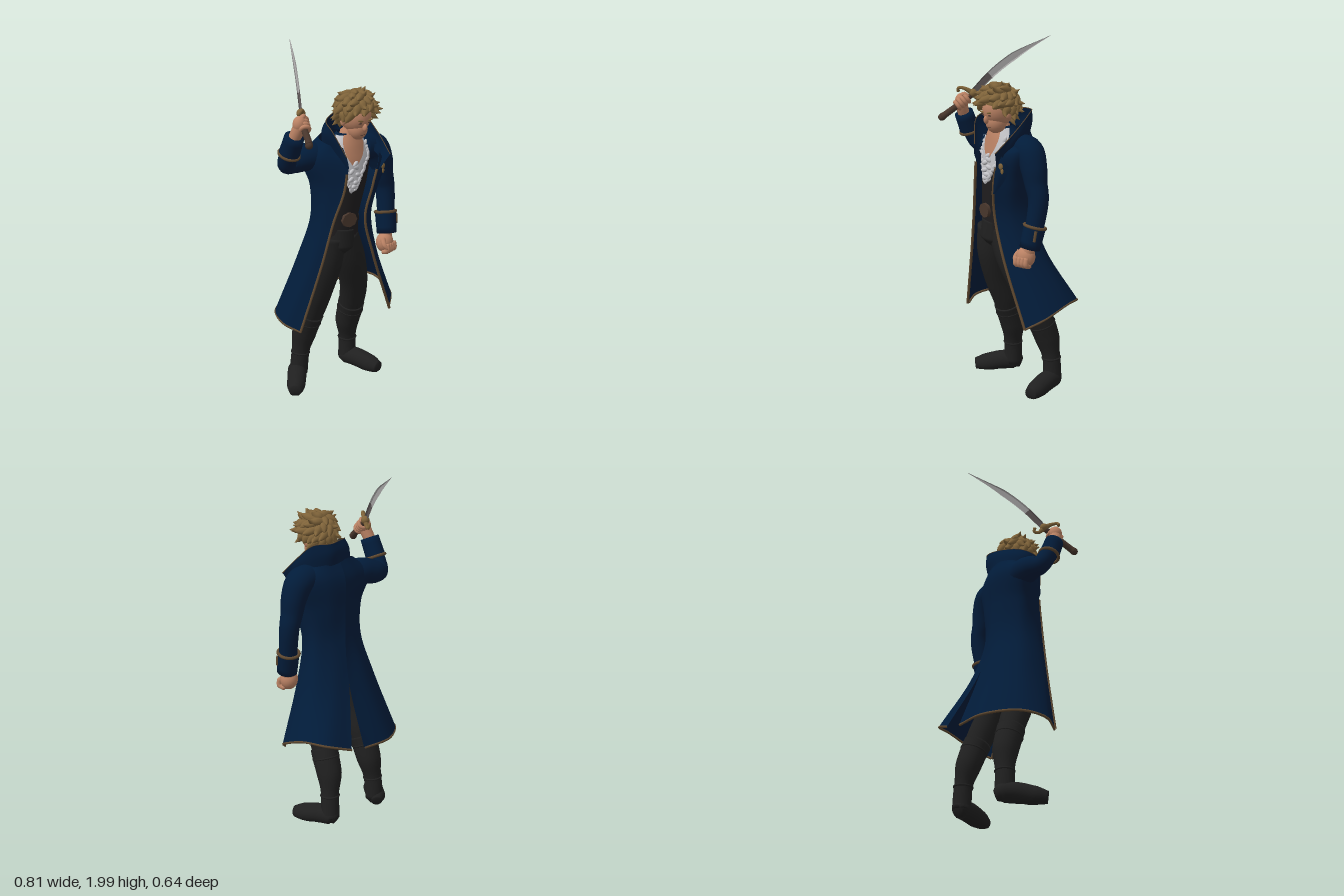
import * as THREE from 'three';

const mat = (name, color, side = THREE.FrontSide) => {
  const m = new THREE.MeshStandardMaterial({ color, side });
  m.name = name;
  return m;
};
const V = (x, y, z) => new THREE.Vector3(x, y, z);
const spline = (pts) => new THREE.CatmullRomCurve3(pts);

// Surface through rows of points
function grid(rows, closed = false) {
  const n = rows[0].length, idx = [];
  for (let i = 0; i < rows.length - 1; i++)
    for (let j = 0; j < (closed ? n : n - 1); j++) {
      const k = (j + 1) % n, a = i * n + j, b = i * n + k;
      idx.push(a, b, a + n, b, b + n, a + n);
    }
  const g = new THREE.BufferGeometry().setFromPoints(rows.flat());
  g.setIndex(idx);
  g.computeVertexNormals();
  return g;
}

// Smooth sheet: each level is a list of [x, y, z] running across
function sheetRows(levels, nu, nv) {
  const cols = levels[0].map((_, j) => spline(levels.map((l) => V(...l[j]))));
  return Array.from({ length: nu + 1 }, (_, i) => spline(cols.map((c) => c.getPoint(i / nu))).getPoints(nv));
}

// Round limb through [x, y, z, radius] stations
function limb(pts, sides = 16, steps = 24, floor = -9) {
  const path = spline(pts.map((p) => V(p[0], p[1], p[2])));
  const rad = spline(pts.map((p) => V(p[3], 0, 0)));
  const t0 = path.getTangent(0);
  const n = Math.abs(t0.y) > 0.8 ? V(1, 0, 0) : V(0, 1, 0);
  const rows = [];
  for (let i = 0; i <= steps; i++) {
    const p = path.getPoint(i / steps), t = path.getTangent(i / steps);
    n.addScaledVector(t, -n.dot(t)).normalize();
    const b = t.clone().cross(n), r = Math.max(rad.getPoint(i / steps).x, 0.0005);
    const ring = (k) => Array.from({ length: sides }, (_, j) => {
      const a = (j / sides) * Math.PI * 2;
      const q = p.clone().addScaledVector(n, Math.cos(a) * r * k).addScaledVector(b, Math.sin(a) * r * k);
      q.y = Math.max(q.y, floor);
      return q;
    });
    if (i === 0) rows.push(ring(0.01));
    rows.push(ring(1));
    if (i === steps) rows.push(ring(0.01));
  }
  return grid(rows, true);
}

export function createModel() {
  const model = new THREE.Group();
  const coat = mat('navy cloth', 0x021c3a, THREE.DoubleSide);
  const trim = mat('brown trim', 0x5e4830);
  const dark = mat('dark trousers and boots', 0x202020);
  const vestM = mat('vest cloth', 0x1f1d1e, THREE.DoubleSide);
  const skin = mat('skin', 0xbc8365, THREE.DoubleSide);
  const hairM = mat('dark gold', 0x80643a, THREE.DoubleSide);
  const white = mat('white linen', 0xc4c4c8, THREE.DoubleSide);
  const steel = mat('steel', 0xa3a1a1);
  const darkSteel = mat('dark steel', 0x5c5555);
  const leather = mat('leather', 0x48362c);

  const add = (name, geo, m, parent = model) => {
    const mesh = new THREE.Mesh(geo, m);
    mesh.name = name;
    parent.add(mesh);
    return mesh;
  };
  const ball = (name, p, s, m, parent = model) => {
    const b = add(name, new THREE.SphereGeometry(1, 24, 16), m, parent);
    b.position.set(...p);
    b.scale.set(...s);
    return b;
  };
  const piping = (name, pts, r) => add(name, new THREE.TubeGeometry(spline(pts), pts.length * 2, r, 6), trim);
  const ringOn = (name, p, q, r, tube, m) => {
    const t = add(name, new THREE.TorusGeometry(r, tube, 8, 28), m);
    t.position.set(...p);
    t.quaternion.setFromUnitVectors(V(0, 0, 1), V(...q).sub(V(...p)).normalize());
  };

  // Torso, turned towards the sword side: [x, y, z, half width, half depth]
  const torso = [[-.03, .93, .06, .13, .1], [-.03, 1.06, .07, .12, .095], [0, 1.25, .08, .145, .105],
    [.02, 1.4, .07, .17, .11], [.02, 1.48, .08, .11, .09], [.01, 1.54, .1, .055, .055]];
  const torsoPoint = (y, a, off = 0) => {
    let i = 0;
    while (i < torso.length - 2 && torso[i + 1][1] < y) i++;
    const f = (y - torso[i][1]) / (torso[i + 1][1] - torso[i][1]);
    const [x, , z, w, d] = torso[i].map((v, k) => v + (torso[i + 1][k] - v) * f);
    return V((w + off) * Math.cos(a), 0, -(d + off) * Math.sin(a)).applyAxisAngle(V(0, 1, 0), -.37).add(V(x, y, z));
  };
  const band = (y0, y1, n, off, half) => {
    const rows = [];
    for (let i = 0; i <= n; i++) {
      const h = half(i / n), y = y0 + (y1 - y0) * i / n;
      rows.push(Array.from({ length: 33 }, (_, j) => torsoPoint(y, -Math.PI / 2 + h * (j / 16 - 1), off)));
    }
    return grid(rows);
  };
  add('vest', band(.95, 1.4, 20, 0, () => Math.PI), vestM);
  add('coatLining', band(1.4, 1.54, 6, 0, () => Math.PI), coat);
  add('hips', limb([[-.045, .84, .06, .06], [-.04, .9, .06, .11], [-.03, 1, .065, .105]]), dark);
  add('shirtFront', band(1.22, 1.53, 12, .007, (u) => .08 + .75 * u + .7 * u ** 4), white);
  add('bareChest', band(1.37, 1.535, 10, .013, (u) => .1 + .7 * u), skin);
  // Ruffles down both shirt edges and a gathered frill in the middle
  for (let i = 0; i < 24; i++) {
    const s = i % 2 ? 1 : -1, u = i / 23;
    const p = torsoPoint(1.23 + .24 * u, -Math.PI / 2 + s * (.1 + .72 * u), .007);
    const r = ball('shirtRuffle', p.toArray(), [.011, .02 + .006 * Math.sin(i * 2.3), .008], white);
    r.rotation.z = s * -.5 + Math.sin(i * 4.1) * .6;
  }
  for (let i = 0; i < 7; i++)
    ball('shirtFrill', torsoPoint(1.25 + .021 * i, -Math.PI / 2 + .14 * Math.sin(i * 2.6), .012).toArray(), [.022, .013, .01], white)
      .rotation.z = Math.sin(i * 3.3) * .7;
  add('belt', band(1.03, 1.06, 1, .005, () => Math.PI), vestM);
  const buckle = add('beltBuckle', new THREE.CylinderGeometry(.042, .042, .018, 8), leather);
  buckle.position.copy(torsoPoint(1.06, -Math.PI / 2 + .06, .008));
  buckle.rotation.set(Math.PI / 2, 0, .37);
  buckle.scale.x = 1.15;

  // Coat body and skirt in two panels that part at the back slit
  const rightPanel = [
    [[-.08, 1.47, .14], [-.13, 1.49, .07], [-.09, 1.51, -.02], [0, 1.525, -.04], [.07, 1.52, -.025]],
    [[-.1, 1.41, .18], [-.19, 1.41, .03], [-.17, 1.41, -.08], [-.03, 1.42, -.085], [.07, 1.42, -.06]],
    [[-.118, 1.25, .18], [-.165, 1.25, .08], [-.15, 1.25, -.035], [-.04, 1.25, -.07], [.06, 1.25, -.055]],
    [[-.162, 1.06, .135], [-.18, 1.06, .06], [-.14, 1.06, -.04], [-.04, 1.06, -.075], [.07, 1.06, -.06]],
    [[-.21, .83, .095], [-.23, .83, .03], [-.18, .83, -.1], [-.03, .83, -.145], [.1, .83, -.1]],
    [[-.31, .43, .015], [-.328, .46, -.09], [-.25, .48, -.215], [-.05, .48, -.285], [.15, .48, -.225]]];
  const leftPanel = [
    [[.07, 1.52, -.025], [.15, 1.505, .03], [.18, 1.49, .1], [.16, 1.46, .18], [.1, 1.43, .22]],
    [[.07, 1.42, -.06], [.17, 1.42, .01], [.24, 1.42, .12], [.2, 1.42, .23], [.1, 1.4, .25]],
    [[.06, 1.25, -.055], [.15, 1.25, 0], [.2, 1.25, .1], [.165, 1.25, .215], [.058, 1.25, .245]],
    [[.07, 1.06, -.06], [.14, 1.06, 0], [.19, 1.06, .08], [.14, 1.06, .18], [.036, 1.06, .21]],
    [[.1, .83, -.1], [.2, .83, -.045], [.26, .83, .05], [.2, .83, .175], [.1, .83, .22]],
    [[.25, .5, -.2], [.38, .55, -.11], [.405, .56, .02], [.355, .5, .18], [.26, .44, .235]]];
  [['right', rightPanel], ['left', leftPanel]].forEach(([side, levels]) => {
    const rows = sheetRows(levels, 40, 28);
    add(side + 'CoatPanel', grid(rows), coat);
    piping(side + 'HemTrim', rows[40].map((p) => V(p.x * .988, p.y, p.z * .988)), .007);
    piping(side + 'FrontTrim', rows.slice(12).map((r) => (side === 'right' ? r[0] : r[28])), .008);
  });

  // Standing collar sweeping down to pointed lapels
  const collar = sheetRows([
    [[-.1, 1.33, .185], [-.12, 1.46, .1], [-.1, 1.5, .01], [.02, 1.52, -.035], [.12, 1.5, .0], [.17, 1.48, .1], [.14, 1.4, .22], [.08, 1.3, .245]],
    [[-.11, 1.38, .2], [-.14, 1.52, .11], [-.11, 1.555, .02], [.02, 1.58, -.025], [.13, 1.57, -.01], [.18, 1.55, .09], [.16, 1.47, .21], [.1, 1.36, .28]],
    [[-.115, 1.43, .19], [-.15, 1.57, .12], [-.1, 1.605, .04], [.02, 1.625, .0], [.13, 1.625, 0], [.178, 1.615, .08], [.165, 1.53, .19], [.12, 1.42, .315]]], 8, 48);
  add('collar', grid(collar), coat);
  piping('collarTrim', collar[8], .0025);
  add('leftLapel', grid(sheetRows([[[.1, 1.42, .255], [.14, 1.38, .265], [.17, 1.34, .25]],
    [[.075, 1.3, .258], [.11, 1.29, .26], [.135, 1.27, .245]],
    [[.05, 1.18, .24], [.055, 1.18, .24], [.06, 1.18, .239]]], 8, 8)), coat);
  ball('brooch', [.122, 1.345, .268], [.014, .018, .007], hairM);
  ball('broochDrop', [.128, 1.318, .264], [.009, .016, .006], hairM);

  // Sleeves and cuffs
  add('leftSleeve', limb([[.13, 1.43, .11, .075], [.218, 1.415, .14, .08], [.258, 1.34, .155, .073], [.278, 1.25, .16, .062],
    [.298, 1.17, .165, .056], [.285, 1.0, .185, .05]], 20, 30), coat);
  add('rightSleeve', limb([[-.08, 1.4, .0, .085], [-.17, 1.41, -.04, .077], [-.24, 1.395, -.075, .066],
    [-.29, 1.39, -.08, .053], [-.318, 1.45, -.05, .05], [-.333, 1.52, -.01, .045]], 20, 30), coat);
  [['left', [.286, 1.02, .18], [.268, .9, .203], .057], ['right', [-.325, 1.46, -.04], [-.334, 1.565, .005], .054]].forEach(([side, p, q, r]) => {
    add(side + 'Cuff', limb([[...p, r + .004], [...q, r]], 20, 4), coat);
    ringOn(side + 'CuffTrim', p, q, r + .002, .009, trim);
  });
  piping('leftCuffTab', [V(.325, 1.01, .225), V(.322, .98, .23), V(.318, .95, .232)], .009);

  // Left fist
  ball('leftFist', [.245, .85, .205], [.052, .06, .05], skin);
  add('leftWrist', limb([[.268, .92, .198, .036], [.25, .86, .205, .04]], 12, 4), skin);
  for (let i = 0; i < 4; i++)
    add('leftFinger', limb([[.212 + i * .022, .855, .247, .013], [.21 + i * .022, .815, .25, .015], [.21 + i * .022, .8, .215, .012]], 8, 8), skin);
  add('leftThumb', limb([[.213, .88, .215, .017], [.197, .85, .235, .015], [.208, .825, .255, .01]], 8, 8), skin);

  // Sabre: grip, guard and curved blade
  const h0 = V(-.27, 1.675, 0), h1 = V(-.385, 1.55, .14);
  add('swordGrip', limb([[...h0.toArray(), .016], [-.33, 1.61, .07, .018], [-.37, 1.565, .125, .019], [...h1.toArray(), .022]], 12, 16), leather);
  ball('pommel', h1.toArray(), [.021, .021, .021], leather);
  add('crossGuard', limb([[-.345, 1.69, .04, .01], [-.335, 1.71, .05, .008], [-.305, 1.708, .035, .01], [-.27, 1.677, 0, .016],
    [-.248, 1.645, -.022, .01], [-.23, 1.645, -.042, .008], [-.235, 1.668, -.045, .01]], 8, 30), hairM);
  ball('guardBoss', [-.27, 1.68, 0], [.024, .024, .024], hairM);
  const bladePath = spline([V(-.27, 1.68, 0), V(-.19, 1.793, -.08), V(-.1, 1.888, -.17), V(.047, 2, -.32)]);
  const bladeRows = [];
  for (let i = 0; i <= 24; i++) {
    const u = i / 24, p = bladePath.getPoint(u), t = bladePath.getTangent(u);
    const s = t.clone().cross(V(0, 1, 0)).normalize(), w = s.clone().cross(t);
    const k = Math.max(.03, Math.min(1, (1 - u) * 3)), e = (.019 + .004 * Math.sin(u * 3.1)) * k, d = .006 * Math.sqrt(k);
    bladeRows.push([[e, 0], [e * .7, -d], [-e * .7, -d], [-e, 0], [-e * .7, d], [e * .7, d]]
      .map(([a, b]) => p.clone().addScaledVector(w, a).addScaledVector(s, b)));
  }
  [['bladeBase', bladeRows.slice(0, 8), darkSteel], ['blade', bladeRows.slice(7), steel]].forEach(([name, rows, m]) => {
    const g = grid(rows, true).toNonIndexed();
    g.computeVertexNormals();
    add(name, g, m);
  });

  // Right hand wrapped around the grip
  add('rightWrist', limb([[-.334, 1.55, 0, .033], [-.33, 1.6, .025, .035], [-.325, 1.64, .04, .034]], 12, 8), skin);
  ball('rightPalm', [-.325, 1.635, .033], [.04, .045, .036], skin);
  for (let i = 0; i < 4; i++) {
    const p = h0.clone().lerp(h1, .2 + i * .1);
    ringOn('rightFinger', p.toArray(), h1.toArray(), .023, .0115, skin);
  }
  add('rightThumb', limb([[-.33, 1.66, .04, .016], [-.3, 1.675, .04, .014], [-.28, 1.66, .03, .011]], 8, 8), skin);

  // Legs, boots and feet
  [['right', [[-.085, .95, .05, .095], [-.1, .8, .04, .092], [-.1, .62, -.01, .08], [-.09, .5, -.06, .076], [-.09, .4, -.1, .068]],
    [[-.09, .45, -.08, .078], [-.09, .4, -.1, .076], [-.088, .31, -.13, .071], [-.098, .19, -.15, .052], [-.105, .06, -.16, .053]],
    [[-.07, .05, -.195, .03], [-.1, .065, -.175, .054], [-.16, .066, -.13, .056], [-.24, .048, -.075, .053], [-.295, .04, -.04, .034]]],
  ['left', [[0, .95, .07, .095], [.06, .8, .08, .093], [.14, .62, .06, .082], [.182, .5, .025, .077], [.205, .4, -.01, .068]],
    [[.195, .45, .008, .078], [.207, .4, -.01, .076], [.222, .31, -.04, .071], [.242, .19, -.055, .051], [.247, .06, -.06, .053]],
    [[.247, .05, -.1, .03], [.247, .065, -.07, .054], [.25, .066, .01, .056], [.252, .048, .11, .053], [.252, .04, .17, .034]]],
  ].forEach(([side, leg, boot, foot]) => {
    add(side + 'Leg', limb(leg, 20, 28), dark);
    add(side + 'Boot', limb(boot, 20, 24), dark);
    add(side + 'Foot', limb(foot, 18, 24, .012), dark);
    [[1, 2, .073, .006], [3, 4, .051, .006]].forEach(([i, j, r, t]) =>
      ringOn(side + 'BootStrap', boot[i].slice(0, 3), boot[j].slice(0, 3), r, t, dark));
  });

  // Neck and bowed head
  add('neck', limb([[.015, 1.46, .1, .058], [.01, 1.54, .115, .05], [.015, 1.6, .13, .05]], 16, 8), skin);
  const head = new THREE.Group();
  head.name = 'head';
  head.position.set(.022, 1.625, .148);
  head.rotation.set(.22, -.3, 0, 'YXZ');
  model.add(head);
  ball('skull', [0, .01, 0], [.082, .095, .092], skin, head);
  ball('jaw', [0, -.055, .032], [.056, .064, .058], skin, head);
  ball('nose', [0, -.025, .092], [.011, .022, .017], skin, head);
  ball('mouth', [0, -.07, .084], [.018, .003, .005], leather, head);
  for (const s of [-1, 1]) {
    ball('ear', [s * .082, -.015, 0], [.012, .026, .018], skin, head);
    ball('eye', [s * .03, 0, .086], [.012, .004, .004], leather, head);
    ball('eyebrow', [s * .032, .016, .088], [.021, .005, .006], hairM, head).rotation.z = s * .2;
  }

  // Tousled hair: a full cap with broad swept locks and flicked ends
  const hair = new THREE.Group();
  hair.name = 'hair';
  hair.position.set(0, .035, -.006);
  hair.rotation.x = -.68;
  head.add(hair);
  const cap = add('hairCap', new THREE.SphereGeometry(1, 28, 16, 0, Math.PI * 2, 0, 1.95), hairM, hair);
  cap.scale.set(.108, .102, .106);
  for (let i = 0; i < 58; i++) {
    const c = 1 - 1.25 * (i + .5) / 58, a = i * 2.39996, q = Math.sqrt(1 - c * c);
    const d = V(q * Math.cos(a), c, q * Math.sin(a));
    const sweep = V(c * Math.cos(a), -q, c * Math.sin(a)).multiplyScalar(.75)
      .addScaledVector(V(-Math.sin(a), 0, Math.cos(a)), .5 + .5 * Math.sin(i * 1.7));
    const flick = .126 + .014 * Math.sin(i * 2.9);
    const at = (k, s, r) => [...d.clone().multiplyScalar(k).addScaledVector(sweep, s).toArray(), r];
    add('hairLock', limb([at(.085, -.03, .018), at(.097, .008, .026), at(.11, .038, .015), at(flick, .056, .001)], 8, 8), hairM, hair);
  }
  return model;
}
